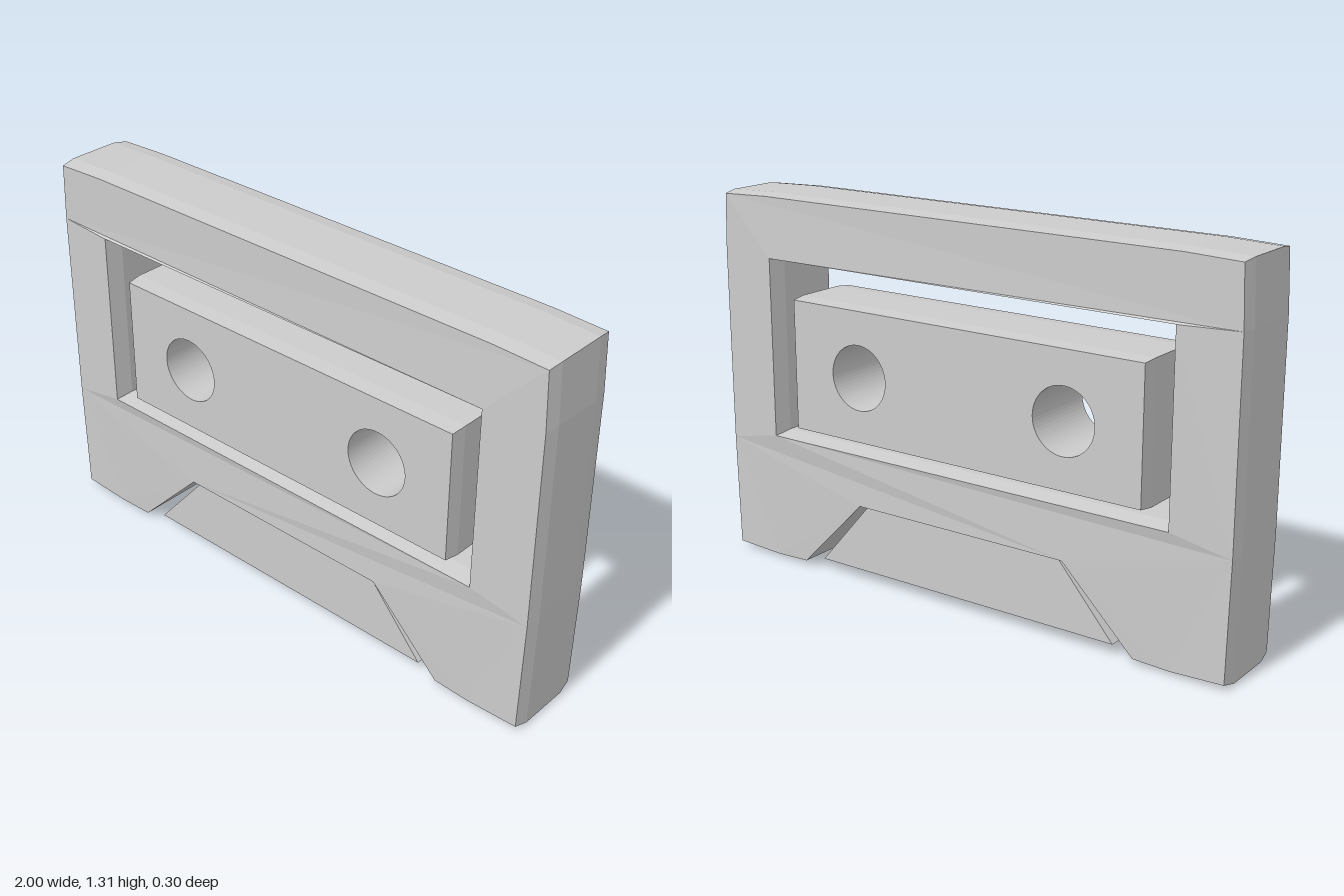
import * as THREE from 'three';

const grey = new THREE.MeshStandardMaterial({ color: 0xcccccc, flatShading: true });
const INNER_Z = 0.09;

// Closed shape mirrored about x = 0 from the points of its +x half (bottom to top)
function mirroredPoints(half) {
  const left = half.map(([x, y]) => [-x, y]).reverse();
  return [...half, ...left].map(([x, y]) => new THREE.Vector2(x, y));
}

// Extrude in three slices; capZ sets the face depth, swell moves the two middle rings
function slicedMesh(name, shape, capZ, swell) {
  const geo = new THREE.ExtrudeGeometry(shape, { depth: 3, steps: 3, bevelEnabled: false, curveSegments: 32 });
  const pos = geo.attributes.position;
  for (let i = 0; i < pos.count; i++) {
    const x = pos.getX(i), y = pos.getY(i), level = Math.round(pos.getZ(i));
    const side = level < 2 ? -1 : 1;
    if (level === 0 || level === 3) {
      pos.setZ(i, side * capZ(x, y));
    } else {
      const [dx, dy] = swell(x, y);
      pos.setXYZ(i, x + dx, y + dy, side * INNER_Z);
    }
  }
  geo.computeVertexNormals();
  const mesh = new THREE.Mesh(geo, grey);
  mesh.name = name;
  return mesh;
}

// Frame with a window and a tapered notch along the bottom
function makeCase() {
  const shape = new THREE.Shape(mirroredPoints([
    [0.41, 0.28], [0.67, 0.017], [0.8, 0.012], [0.985, 0.02],
    [0.993, 0.42], [0.993, 1.1], [0.985, 1.295], [0.8, 1.302],
  ]));
  const win = mirroredPoints([[0.785, 0.463], [0.785, 1.093]]);
  shape.holes.push(new THREE.Path(win));
  const inWindow = (x, y) => Math.abs(x) < 0.79 && y > 0.45 && y < 1.1;
  const capZ = (x, y) => {
    if (inWindow(x, y)) return 0.15;
    return y > 0.2 && y < 0.3 ? 0.147 : 0.141;
  };
  const swell = (x, y) => {
    const s = Math.sign(x);
    if (inWindow(x, y)) return [-s * 0.013, y > 0.8 ? -0.013 : 0.012];
    if (Math.abs(x) < 0.7) return [0, 0];
    const dx = Math.abs(x) > 0.9 ? s * 0.007 : 0;
    const dy = y > 1.2 ? 0.008 : y < 0.1 ? -0.012 : 0;
    return [dx, dy];
  };
  return slicedMesh('caseFrame', shape, capZ, swell);
}

// Centre plate with two round spool holes
function makePlate() {
  const shape = new THREE.Shape(mirroredPoints([[0.685, 0.508], [0.685, 0.962]]));
  for (const x of [-0.405, 0.405]) {
    shape.holes.push(new THREE.Path().absarc(x, 0.733, 0.113, 0, Math.PI * 2, true));
  }
  const swell = (x, y) => Math.abs(x) > 0.6 ? [Math.sign(x) * 0.006, y > 0.7 ? 0.006 : -0.006] : [0, 0];
  return slicedMesh('spoolPlate', shape, () => 0.143, swell);
}

// Tapered block filling the notch
function makeFoot() {
  const shape = new THREE.Shape(mirroredPoints([[0.593, 0.04], [0.385, 0.28]]));
  return slicedMesh('lowerBlock', shape, () => 0.132, () => [0, 0]);
}

export function createModel() {
  const group = new THREE.Group();
  group.name = 'cassette';
  group.add(makeCase(), makePlate(), makeFoot());
  return group;
}
